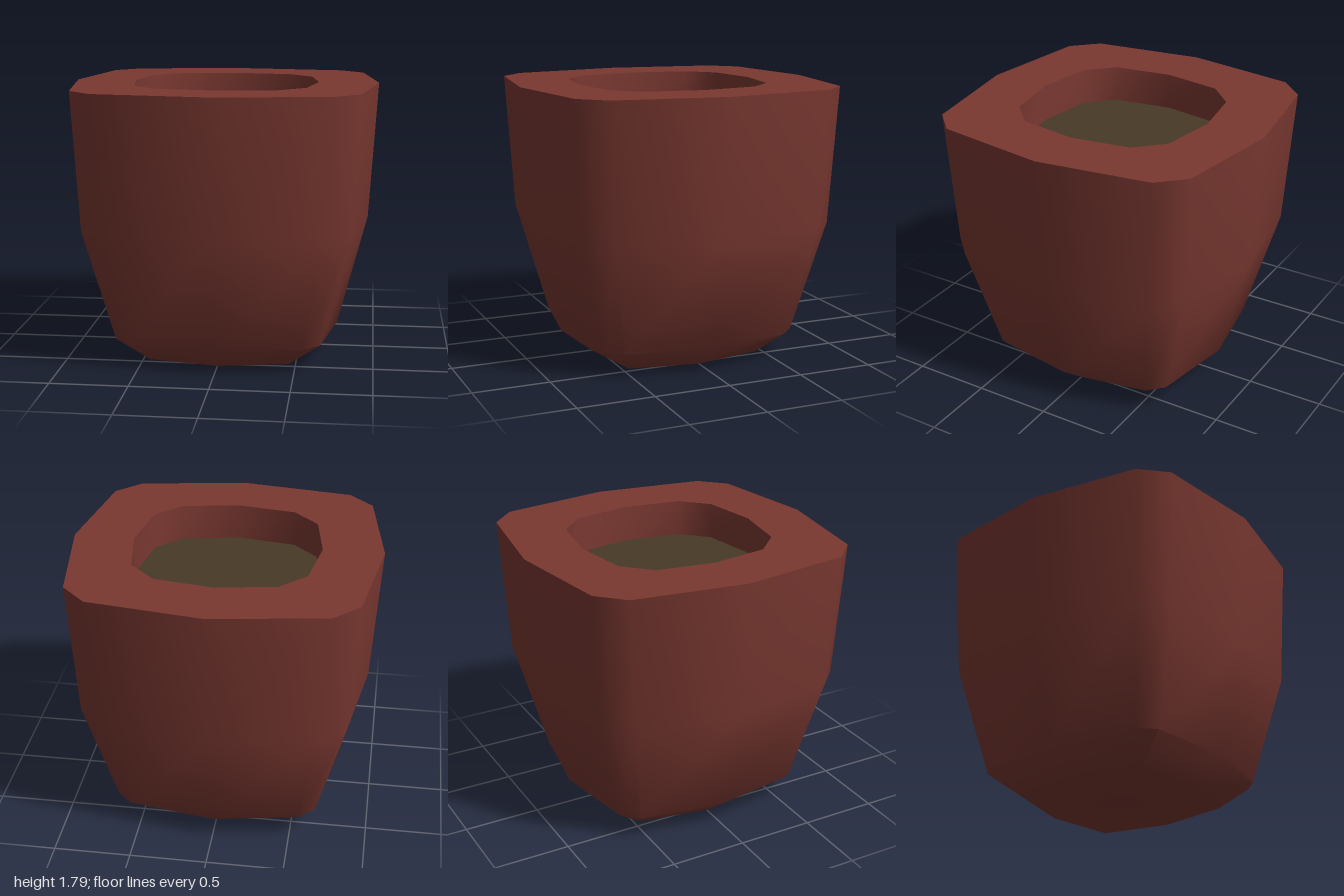
import * as THREE from 'three';
import { toCreasedNormals } from 'three/addons/utils/BufferGeometryUtils.js';

// Rounded-square ring: mid = reach at the side centres, (far, near) = the two corner coordinates
function ring(y, mid, far, near) {
  const points = [];
  for (let q = 0; q < 4; q++) {
    const c = [1, 0, -1, 0][q], s = [0, 1, 0, -1][q];
    for (const [u, v] of [[mid, 0], [far, near], [near, far]]) {
      points.push(new THREE.Vector3(u * c - v * s, y, u * s + v * c));
    }
  }
  return points;
}

// Joins successive rings with triangles, leaving out collapsed ones
function loft(rings) {
  const positions = [];
  const face = (a, b, c) => {
    if (new THREE.Triangle(a, b, c).getArea() < 1e-6) return;
    for (const p of [a, b, c]) positions.push(p.x, p.y, p.z);
  };
  for (let r = 0; r < rings.length - 1; r++) {
    const a = rings[r], b = rings[r + 1];
    for (let i = 0; i < a.length; i++) {
      const j = (i + 1) % a.length;
      face(a[i], b[i], a[j]);
      face(b[i], b[j], a[j]);
    }
  }
  const geometry = new THREE.BufferGeometry();
  geometry.setAttribute('position', new THREE.Float32BufferAttribute(positions, 3));
  return toCreasedNormals(geometry, 0.78);
}

export function createModel() {
  const clay = new THREE.MeshStandardMaterial({ color: 0x7a3831 });
  clay.name = 'clay';
  const earth = new THREE.MeshStandardMaterial({ color: 0x483926 });
  earth.name = 'earth';

  // Pot: underside, flared outer wall, flat rim, inner wall
  const pot = new THREE.Mesh(loft([
    ring(0, 0, 0, 0),
    ring(0, 0.545, 0.455, 0.455),
    ring(0.165, 0.755, 0.66, 0.56),
    ring(0.9, 0.945, 0.845, 0.69),
    ring(1.79, 1, 0.892, 0.73),
    ring(1.79, 0.608, 0.547, 0.38),
    ring(1.55, 0.608, 0.547, 0.38),
  ]), clay);
  pot.name = 'pot';

  // Soil surface inside the opening
  const soil = new THREE.Mesh(loft([
    ring(1.55, 0.608, 0.547, 0.38),
    ring(1.55, 0, 0, 0),
  ]), earth);
  soil.name = 'soil';

  const group = new THREE.Group();
  group.name = 'planter';
  group.add(pot, soil);
  return group;
}
